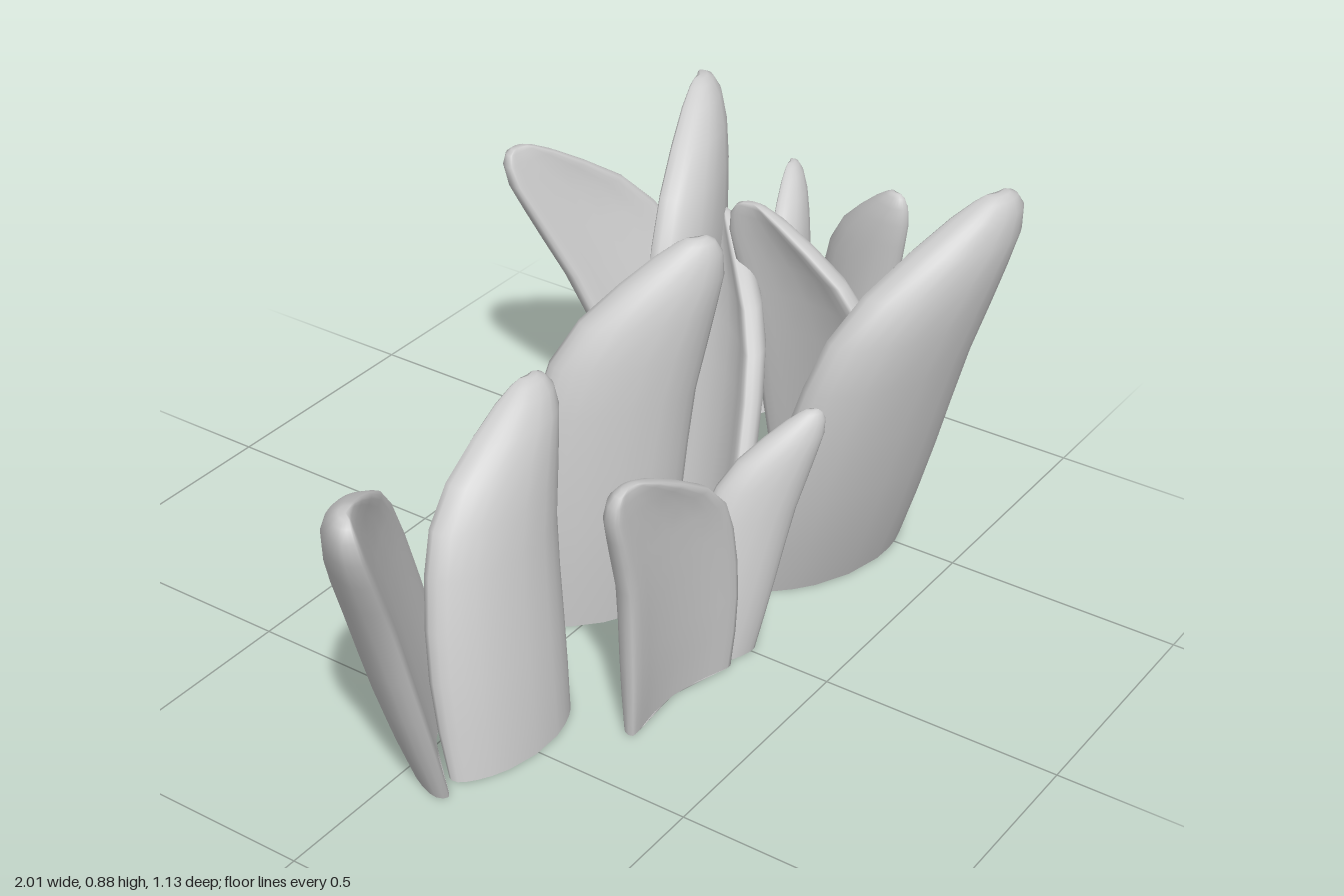
import * as THREE from 'three';

// Blade outline: height fraction, far edge, tip-side edge (base spans -0.5..0.5), thickness ratio
const PROFILE = [
  [0, -0.5, 0.5, 0.08], [0.15, -0.53, 0.51, 0.1], [0.3, -0.54, 0.52, 0.11], [0.45, -0.52, 0.53, 0.115],
  [0.6, -0.47, 0.55, 0.12], [0.72, -0.39, 0.6, 0.12], [0.82, -0.22, 0.64, 0.13],
  [0.9, 0.02, 0.67, 0.15], [0.96, 0.23, 0.65, 0.18], [0.99, 0.36, 0.6, 0.2], [1, 0.42, 0.55, 0.2],
];

// Each blade: base far end (x, z), base tip-side end (x, z), tip (x, y, z)
const BLADES = [
  [-0.43, -0.10, -0.71, 0.11, -0.97, 0.78, 0.15],
  [-0.66, 0.09, -0.34, 0.12, -0.28, 0.66, 0.00],
  [-0.06, 0.31, -0.36, 0.28, -0.39, 0.58, 0.30],
  [-0.12, 0.20, 0.02, 0.32, 0.16, 0.49, 0.35],
  [-0.18, -0.12, 0.08, 0.07, 0.13, 0.80, 0.10],
  [0.03, 0.22, 0.17, 0.00, 0.52, 0.64, -0.10],
  [0.18, 0.20, 0.56, 0.33, 0.52, 0.86, 0.53],
  [0.23, -0.08, 0.58, -0.21, 0.61, 0.88, -0.22],
  [0.55, 0.33, 0.56, 0.03, 0.42, 0.73, 0.03],
  [0.87, -0.06, 0.80, 0.14, 0.79, 0.64, 0.16],
  [0.69, -0.05, 0.90, -0.12, 0.97, 0.54, -0.21],
  [0.80, -0.15, 0.50, -0.22, 0.39, 0.71, -0.53],
];

const SIDES = 24;
const BOW = 0.13;
const blunt = (v) => Math.sign(v) * Math.abs(v) ** 0.65;

// Curved, leaning blade lofted from bowed, blunt-edged sections
function bladeGeometry([ax, az, bx, bz, tx, ty, tz]) {
  const wx = bx - ax, wz = bz - az;
  const cx = (ax + bx) / 2, cz = (az + bz) / 2;
  const leanX = tx - bx, leanZ = tz - bz;
  const pos = [], index = [];

  for (const [s, far, near, thick] of PROFILE) {
    const mid = (far + near) / 2, half = (near - far) / 2;
    const lean = 1.12 * s - 0.12 * s * s;
    for (let k = 0; k < SIDES; k++) {
      const a = (k / SIDES) * Math.PI * 2;
      const t = blunt(Math.cos(a));
      const u = mid + half * t;
      const d = half * 2 * (BOW * (1 - t * t) + thick * blunt(Math.sin(a)));
      pos.push(cx + wx * u - wz * d + leanX * lean, ty * s, cz + wz * u + wx * d + leanZ * lean);
    }
  }
  for (let r = 0; r < PROFILE.length - 1; r++) {
    for (let k = 0; k < SIDES; k++) {
      const a = r * SIDES + k, b = r * SIDES + (k + 1) % SIDES;
      index.push(a, a + SIDES, b, b, a + SIDES, b + SIDES);
    }
  }

  // Rounded tip cap and flat base cap with its own vertices
  const ringCentre = (row) => {
    const c = [0, 0, 0];
    for (let k = 0; k < SIDES; k++)
      for (let i = 0; i < 3; i++) c[i] += pos[(row * SIDES + k) * 3 + i] / SIDES;
    return c;
  };
  const top = (PROFILE.length - 1) * SIDES;
  const tipCentre = pos.length / 3;
  pos.push(...ringCentre(PROFILE.length - 1));
  const baseCentre = tipCentre + 1;
  pos.push(...ringCentre(0));
  pos.push(...pos.slice(0, SIDES * 3));
  for (let k = 0; k < SIDES; k++) {
    const n = (k + 1) % SIDES;
    index.push(tipCentre, top + n, top + k);
    index.push(baseCentre, baseCentre + 1 + k, baseCentre + 1 + n);
  }

  const geo = new THREE.BufferGeometry();
  geo.setAttribute('position', new THREE.Float32BufferAttribute(pos, 3));
  geo.setIndex(index);
  geo.computeVertexNormals();
  return geo;
}

export function createModel() {
  const group = new THREE.Group();
  group.name = 'bladeCluster';
  const grey = new THREE.MeshStandardMaterial({ color: 0xcccccc });
  grey.name = 'light grey';
  BLADES.forEach((spec, i) => {
    const blade = new THREE.Mesh(bladeGeometry(spec), grey);
    blade.name = `blade${i + 1}`;
    group.add(blade);
  });
  return group;
}
